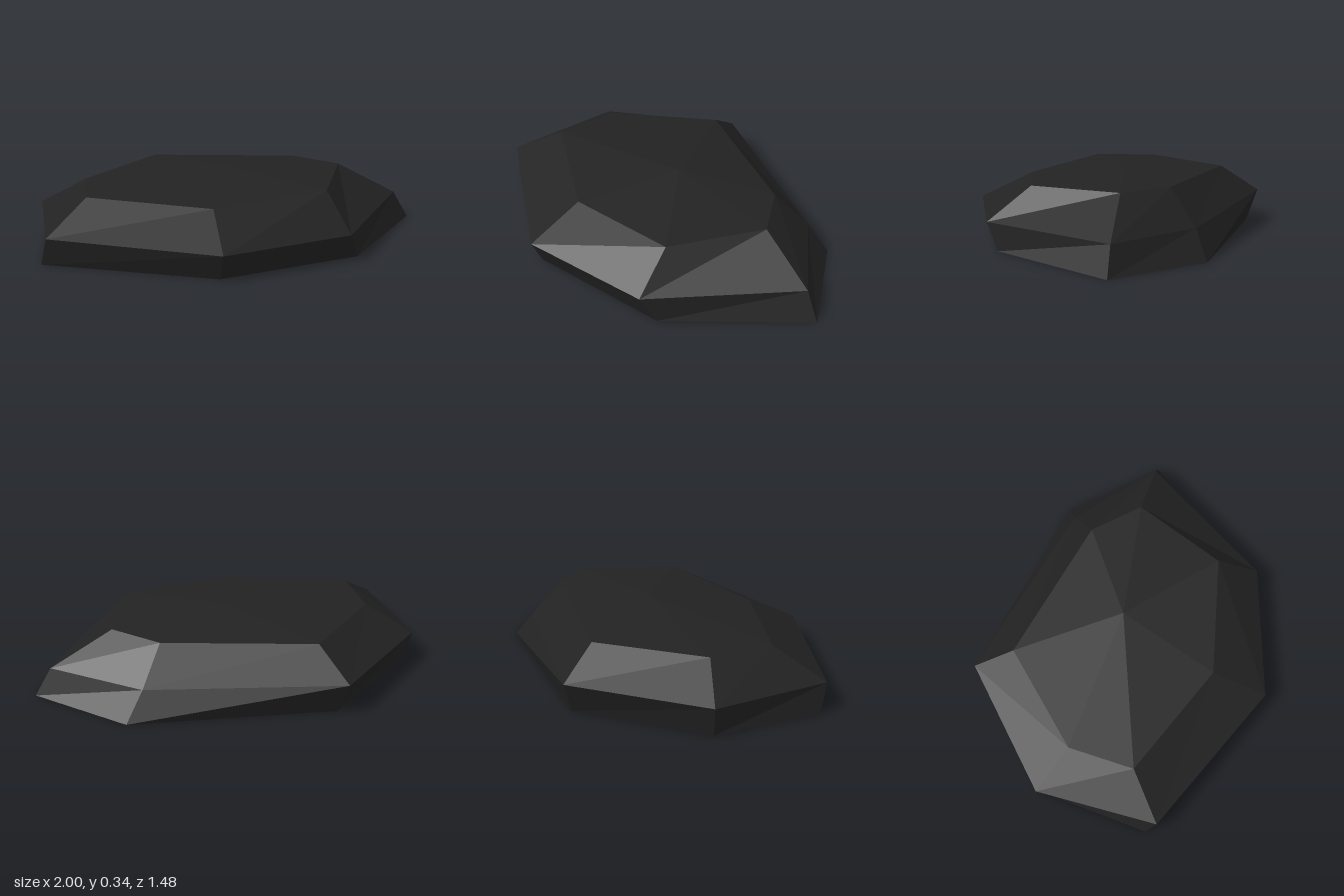
import * as THREE from 'three';

// Cross-section loops, clockwise from above: [x, y, z]
const base = [[-0.31, 0, -0.68], [0.67, 0, -0.44], [1, 0, 0], [0.49, 0, 0.55], [-0.24, 0, 0.68], [-1, 0, 0.25], [-0.89, 0, -0.29]];
const rim = [[-0.34, 0.16, -0.74], [0.57, 0.14, -0.39], [0.92, 0.14, -0.01], [0.43, 0.13, 0.61], [-0.24, 0.13, 0.74], [-0.98, 0.14, 0.3], [-0.92, 0.15, -0.31]];
const crown = [[-0.27, 0.3, -0.54], [0.44, 0.31, -0.27], [0.61, 0.31, -0.04], [0.38, 0.3, 0.4], [-0.21, 0.27, 0.46], [-0.76, 0.285, 0.15], [-0.71, 0.29, -0.18]];
const peak = [0, 0.345, -0.03];

function facetMesh(name, triangles, material) {
  const geometry = new THREE.BufferGeometry();
  geometry.setAttribute('position', new THREE.Float32BufferAttribute(triangles.flat(2), 3));
  geometry.computeVertexNormals();
  const mesh = new THREE.Mesh(geometry, material);
  mesh.name = name;
  return mesh;
}

// Two triangles per side between a lower and an upper loop
function band(lower, upper) {
  return lower.flatMap((p, i) => {
    const j = (i + 1) % lower.length;
    return [[lower[j], p, upper[i]], [lower[j], upper[i], upper[j]]];
  });
}

export function createModel() {
  const stone = new THREE.MeshStandardMaterial({ color: 0x222222 });
  stone.name = 'dark stone';
  stone.flatShading = true;

  const group = new THREE.Group();
  group.name = 'rockSlab';

  // Undercut sides, sloping shoulder, shallow faceted top and flat underside
  group.add(facetMesh('sides', band(base, rim), stone));
  group.add(facetMesh('shoulder', band(rim, crown), stone));
  group.add(facetMesh('top', crown.map((p, i) => [crown[(i + 1) % crown.length], p, peak]), stone));
  group.add(facetMesh('underside', base.slice(1, -1).map((p, i) => [base[0], p, base[i + 2]]), stone));
  return group;
}
